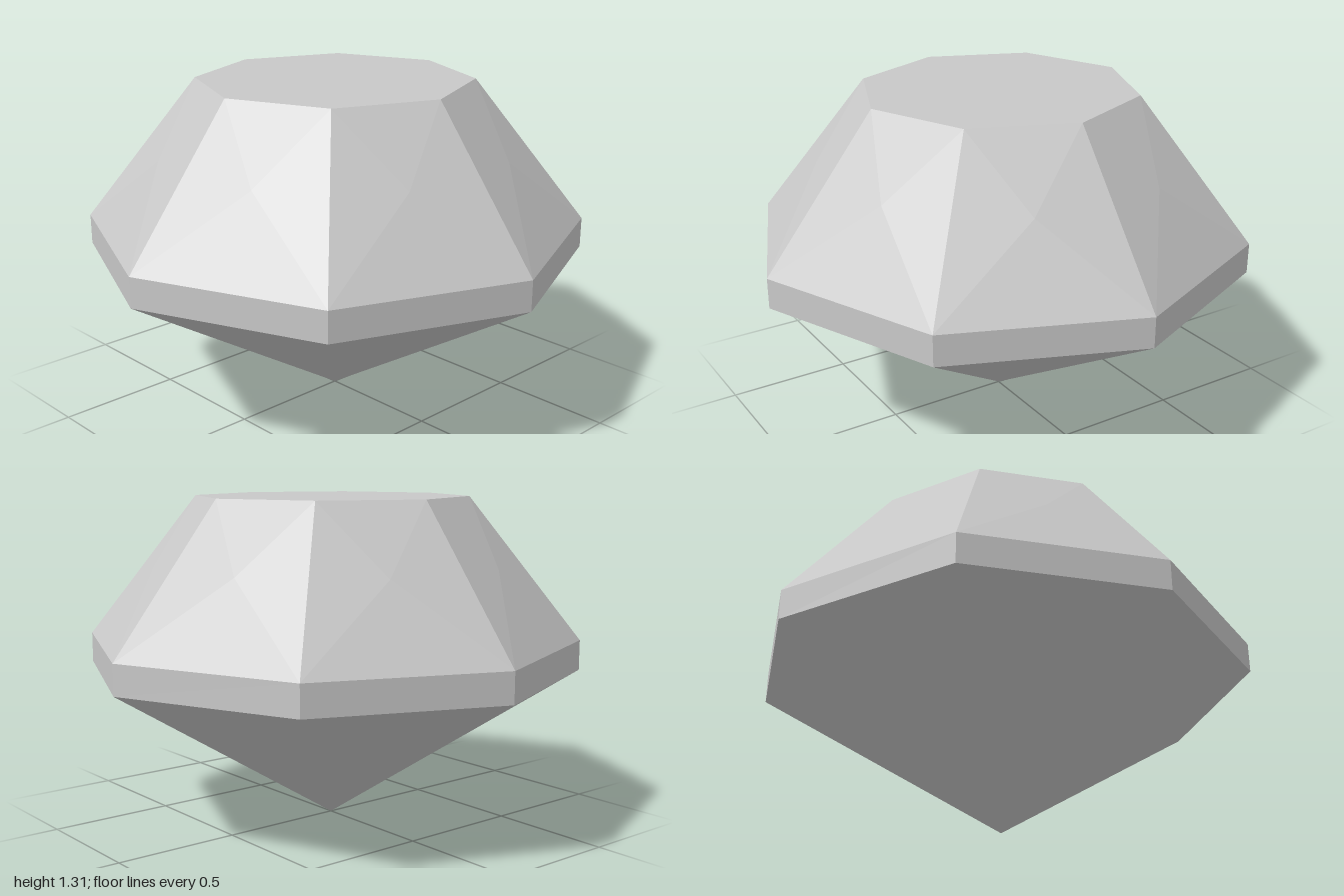
import * as THREE from 'three';

const SIDES = 8;

// A point on a ring; angles are counted in eighths of a turn from the front.
function ringPoint(radius, y, step) {
  const a = (step / SIDES) * Math.PI * 2;
  return [radius * Math.sin(a), y, radius * Math.cos(a)];
}

// Faceted mesh from a function that returns the triangles of one side.
function facets(name, material, trianglesOfSide) {
  const positions = [];
  for (let i = 0; i < SIDES; i++) {
    for (const triangle of trianglesOfSide(i)) positions.push(...triangle.flat());
  }
  const geometry = new THREE.BufferGeometry();
  geometry.setAttribute('position', new THREE.Float32BufferAttribute(positions, 3));
  geometry.computeVertexNormals();
  const mesh = new THREE.Mesh(geometry, material);
  mesh.name = name;
  return mesh;
}

export function createModel() {
  const gem = new THREE.Group();
  gem.name = 'gem';
  const stone = new THREE.MeshStandardMaterial({ color: 0xc8c8c8 });
  stone.name = 'grey stone';

  // Rings of corners, from the flat top down to the point
  const table = (i) => ringPoint(0.55, 1.31, i);
  const middle = (i) => ringPoint(0.715, 1.045, i + 0.5);
  const girdleTop = (i) => ringPoint(1, 0.74, i);
  const girdleBottom = (i) => ringPoint(1, 0.62, i);
  const tip = [0, 0, 0];

  // Flat top
  gem.add(facets('table', stone, (i) => [[[0, 1.31, 0], table(i), table(i + 1)]]));

  // Sloping sides: each panel rises slightly to a middle corner
  gem.add(facets('crown', stone, (i) => {
    const m = middle(i);
    const corners = [girdleTop(i), girdleTop(i + 1), table(i + 1), table(i)];
    return corners.map((c, k) => [c, corners[(k + 1) % 4], m]);
  }));

  // Upright band
  gem.add(facets('girdle', stone, (i) => [
    [girdleBottom(i), girdleBottom(i + 1), girdleTop(i + 1)],
    [girdleBottom(i), girdleTop(i + 1), girdleTop(i)],
  ]));

  // Lower cone
  gem.add(facets('pavilion', stone, (i) => [[tip, girdleBottom(i + 1), girdleBottom(i)]]));

  return gem;
}
